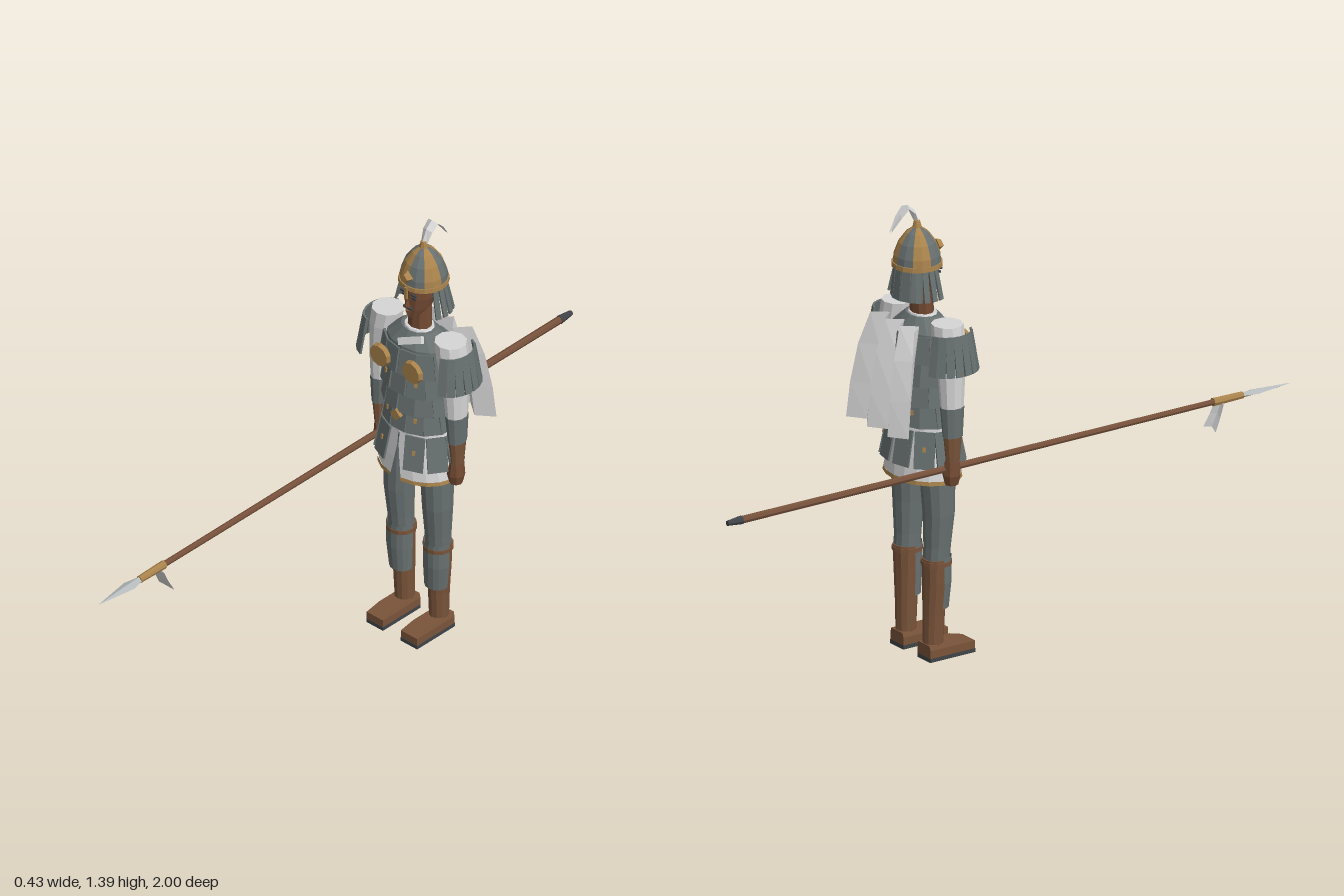
import * as THREE from 'three';

const mat = (name, color) => {
  const m = new THREE.MeshStandardMaterial({ color, flatShading: true, side: THREE.DoubleSide });
  m.name = name;
  return m;
};
const Z = -0.207; // body centre line

// Cross-section loft, rows bottom to top: [y, cx, cz, rx, rz, gap at the open edge]
function loft(rows, n = 10, from = 0, to = Math.PI * 2) {
  const pos = [], idx = [], closed = to - from > 6.2 && !rows[0][5];
  for (const [y, cx, cz, rx, rz, g = 0] of rows)
    for (let j = 0; j <= n; j++) {
      const a = from + g + (j / n) * (to - from - 2 * g);
      pos.push(cx + rx * Math.sin(a), y, cz + rz * Math.cos(a));
    }
  const w = n + 1;
  for (let i = 0; i < rows.length - 1; i++)
    for (let j = 0; j < n; j++) {
      const a = i * w + j, b = a + 1, c = b + w, d = a + w;
      idx.push(a, b, c, a, c, d);
    }
  if (closed) {
    const t = (rows.length - 1) * w;
    for (let j = 1; j < n - 1; j++) idx.push(0, j + 1, j, t, t + j, t + j + 1);
  }
  return surface(pos, idx);
}

function surface(pos, idx) {
  const g = new THREE.BufferGeometry();
  g.setAttribute('position', new THREE.Float32BufferAttribute(pos, 3));
  g.setIndex(idx);
  const out = g.toNonIndexed();
  out.computeVertexNormals();
  return out;
}

// Open sheet from rows of points
function sheet(rows) {
  const w = rows[0].length, idx = [];
  for (let i = 0; i < rows.length - 1; i++)
    for (let j = 0; j < w - 1; j++) {
      const a = i * w + j;
      idx.push(a, a + w, a + 1, a + 1, a + w, a + w + 1);
    }
  return surface(rows.flat(2), idx);
}
// Folded strip: points [z, y, half width], with a raised centre fold
const ribbon = (x, pts, fold) => sheet(pts.map(([z, y, h]) => [[x - h, y, z], [x, y + fold, z + fold], [x + h, y, z]]));

export function createModel() {
  const steel = mat('steel', 0x687170), gold = mat('gold', 0xa9834c), leather = mat('leather', 0x7a543a),
    skin = mat('skin', 0x744b33), cloth = mat('cloth', 0xd6d6d6), dark = mat('dark', 0x404448),
    wood = mat('wood', 0x75503a), blade = mat('blade', 0xb4babb);
  const model = new THREE.Group();
  const add = (name, geo, m, x = 0, y = 0, z = 0) => {
    const o = new THREE.Mesh(geo, m);
    o.name = name;
    o.position.set(x, y, z);
    model.add(o);
    return o;
  };
  const box = (name, w, h, d, m, x, y, z) => add(name, new THREE.BoxGeometry(w, h, d), m, x, y, z);

  // Row of overlapping armour plates on an ellipse, bottoms leaning outward
  function plates(name, { n, from, to, y, h, rx, rz, w, tilt = 0.15, cx = 0, cz = Z, stud = 0 }) {
    for (let i = 0; i < n; i++) {
      const a = from + ((i + 0.5) / n) * (to - from);
      const turn = Math.atan2(Math.sin(a) / rx, Math.cos(a) / rz);
      const p = box(name, w, h, 0.006, steel, cx + rx * Math.sin(a), y, cz + rz * Math.cos(a));
      p.rotation.set(-tilt, turn, 0, 'YXZ');
      if (stud && i % stud === 0) {
        const s = new THREE.Mesh(new THREE.BoxGeometry(0.009, 0.014, 0.006), gold);
        s.name = 'stud';
        s.position.set(0, 0.004, 0.004);
        p.add(s);
      }
    }
  }

  // Torso and its four rows of plates
  add('torso', loft([[0.68, 0, Z, 0.1, 0.08], [0.8, 0, Z, 0.098, 0.078], [0.95, 0, Z, 0.115, 0.082],
    [1.01, 0, Z, 0.11, 0.075], [1.05, 0, Z, 0.06, 0.045]], 14), steel);
  [[0.965, 0.118, 0.086], [0.895, 0.116, 0.086], [0.83, 0.11, 0.085], [0.765, 0.107, 0.084]].forEach(([y, rx, rz], i) =>
    plates('torsoPlate', { n: 12, from: (i % 2) * 0.26, to: Math.PI * 2 + (i % 2) * 0.26, y, h: 0.082, rx, rz, w: 0.055, stud: i % 2 ? 2 : 0 }));
  const sash = add('neckScarf', new THREE.BoxGeometry(0.085, 0.022, 0.014), cloth, 0.02, 1.03, -0.15);
  sash.rotation.set(-0.5, 0, 0.45);
  add('collar', loft([[1.025, 0, Z, 0.065, 0.05], [1.055, 0, Z, 0.045, 0.04]], 12), cloth);
  add('buckle', new THREE.CylinderGeometry(0.02, 0.02, 0.012, 4), gold, 0, 0.78, -0.11).rotation.x = Math.PI / 2;

  // Skirt with front slit, gold hem, belt and hanging plates
  const skirt = (y) => {
    const t = (0.73 - y) / 0.165;
    return [y, 0, Z, 0.1 + 0.032 * t, 0.084 + 0.018 * t, 0.02 + 0.2 * Math.max(0, t - 0.35)];
  };
  add('skirt', loft([0.565, 0.62, 0.67, 0.73].map(skirt), 18), cloth);
  add('skirtHem', loft([[...skirt(0.555)], [...skirt(0.567)]].map((r) => [r[0], r[1], r[2], r[3] + 0.002, r[4] + 0.002, r[5]]), 18), gold);
  add('belt', loft([[0.712, 0, Z, 0.108, 0.088], [0.738, 0, Z, 0.106, 0.087]], 14), cloth);
  plates('skirtPlate', { n: 10, from: 0.2, to: Math.PI * 2 - 0.2, y: 0.662, h: 0.11, rx: 0.13, rz: 0.1, w: 0.061, tilt: 0.2, stud: 3 });

  for (const s of [1, -1]) {
    // Chest disc
    add('chestDisc', new THREE.CylinderGeometry(0.034, 0.038, 0.014, 10), gold, s * 0.064, 0.96, -0.108).rotation.x = Math.PI / 2;

    // Arm: sleeve, bracer, wrist and hand
    add('sleeve', loft([[0.8, s * 0.149, Z, 0.03, 0.036], [0.9, s * 0.146, Z, 0.036, 0.042],
      [1.0, s * 0.133, Z, 0.048, 0.05], [1.052, s * 0.125, Z, 0.049, 0.047]]), cloth);
    add('bracer', loft([[0.71, s * 0.152, Z, 0.024, 0.032], [0.802, s * 0.149, Z, 0.031, 0.038]]), steel);
    add('wrist', loft([[0.62, s * 0.152, Z, 0.015, 0.021], [0.712, s * 0.152, Z, 0.022, 0.03]]), leather);
    add('hand', loft([[0.56, s * 0.146, Z, 0.02, 0.02], [0.59, s * 0.146, Z, 0.027, 0.027], [0.635, s * 0.15, Z, 0.018, 0.024]], 8), skin);

    // Two rows of shoulder plates
    for (const [y, rx, rz] of [[1.0, 0.06, 0.072], [0.945, 0.069, 0.081]])
      plates('shoulderPlate', { n: 8, from: s * 0.2, to: s * 2.94, y, h: 0.065, rx, rz, w: 0.025, cx: s * 0.137, tilt: 0.17 });

    // Leg, boot, greave and foot
    add('leg', loft([[0.3, s * 0.073, -0.21, 0.04, 0.039], [0.35, s * 0.074, -0.207, 0.041, 0.04],
      [0.45, s * 0.076, -0.203, 0.047, 0.047], [0.56, s * 0.073, -0.205, 0.051, 0.053], [0.7, s * 0.058, -0.207, 0.05, 0.055]], 12), steel);
    add('boot', loft([[0.03, s * 0.068, -0.218, 0.029, 0.03], [0.14, s * 0.069, -0.216, 0.033, 0.033],
      [0.24, s * 0.072, -0.213, 0.039, 0.037], [0.312, s * 0.073, -0.212, 0.041, 0.041]], 12), leather);
    add('greave', loft([[0.16, s * 0.07, -0.208, 0.038, 0.037], [0.24, s * 0.073, -0.207, 0.044, 0.042],
      [0.32, s * 0.073, -0.208, 0.044, 0.043]], 8, -1.65, 1.65), steel);
    add('kneeStrap', loft([[0.293, s * 0.073, -0.209, 0.046, 0.046], [0.306, s * 0.073, -0.209, 0.046, 0.046]], 12), leather);
    add('foot', loft([[0.012, s * 0.068, -0.17, 0.046, 0.112], [0.036, s * 0.068, -0.17, 0.046, 0.112],
      [0.05, s * 0.068, -0.195, 0.04, 0.078]], 4, Math.PI / 4, Math.PI * 2.25), leather);
    box('sole', 0.066, 0.012, 0.16, dark, s * 0.068, 0.006, -0.17);

    // Eye and brow
    box('eye', 0.016, 0.006, 0.005, dark, s * 0.02, 1.172, -0.163);
    box('brow', 0.02, 0.005, 0.006, dark, s * 0.021, 1.184, -0.161);
  }

  // Head, neck, nose and pointed beard
  add('neck', loft([[1.03, 0, -0.208, 0.04, 0.033], [1.13, 0, -0.212, 0.037, 0.033]]), skin);
  add('head', loft([[1.095, 0, -0.188, 0.018, 0.022], [1.125, 0, -0.205, 0.036, 0.043],
    [1.165, 0, -0.214, 0.047, 0.054], [1.215, 0, -0.22, 0.05, 0.058]], 12), skin);
  add('nose', new THREE.ConeGeometry(0.01, 0.035, 4), skin, 0, 1.158, -0.157);
  box('moustache', 0.034, 0.006, 0.008, dark, 0, 1.134, -0.159);
  add('beard', new THREE.ConeGeometry(0.014, 0.03, 4), leather, 0, 1.112, -0.162).rotation.x = Math.PI;

  // Helmet of eight alternating panels
  const HZ = -0.226;
  const dome = [[0.072, 1.205], [0.069, 1.235], [0.055, 1.273], [0.034, 1.302], [0.012, 1.318]].map((p) => new THREE.Vector2(...p));
  for (let k = 0; k < 8; k++)
    add('helmetPanel', new THREE.LatheGeometry(dome, 2, (k * Math.PI) / 4, Math.PI / 4), k % 2 ? gold : steel, 0, 0, HZ);
  add('helmetBand', loft([[1.2, 0, HZ, 0.075, 0.076], [1.214, 0, HZ, 0.074, 0.075]], 16), gold);
  add('finial', new THREE.CylinderGeometry(0.009, 0.015, 0.024, 8), gold, 0, 1.325, HZ);
  const gem = add('helmetDiamond', new THREE.CylinderGeometry(0.014, 0.021, 0.018, 4), gold, 0, 1.245, -0.15);
  gem.rotation.x = Math.PI / 2;
  box('nosePiece', 0.009, 0.04, 0.008, gold, 0, 1.19, -0.151);
  // Neck guard: long back panels and narrow side strips
  plates('neckGuard', { n: 5, from: 2.0, to: 4.28, y: 1.155, h: 0.095, rx: 0.07, rz: 0.068, w: 0.038, cz: HZ, tilt: 0.1 });
  for (const s of [1, -1])
    for (const [y, r] of [[1.178, 0.073], [1.135, 0.083]])
      plates('cheekGuard', { n: 4, from: s * 1.1, to: s * 2.3, y, h: 0.05, rx: r, rz: r - 0.004, w: 0.017, cz: HZ, tilt: 0.22 });
  // Plume
  add('plume', ribbon(0, [[-0.228, 1.33, 0.012], [-0.243, 1.365, 0.018], [-0.267, 1.385, 0.02],
    [-0.292, 1.36, 0.016], [-0.322, 1.318, 0.005]], 0.007), cloth);

  // Pleated cape
  const cape = [[1.04, -0.27, 0.11, 0.022], [0.94, -0.298, 0.135, 0.021], [0.82, -0.318, 0.15, 0.02], [0.712, -0.33, 0.156, 0.019]];
  add('cape', sheet(cape.map(([y, z, w, d]) => Array.from({ length: 7 }, (_, j) =>
    [w * (j / 3 - 1), y, z - (j % 2 ? 0 : 2 * d) ]))), cloth);

  // Spear pointing forward, with socket, blade, butt and pennant
  const SX = -0.141, SY = 0.609;
  const along = (name, rows, n, m) => add(name, loft(rows.map(([z, rx, ry]) => [z, 0, 0, rx, ry]), n), m, SX, SY, 0).rotation.x = Math.PI / 2;
  along('spearShaft', [[-0.96, 0.012, 0.012], [0.75, 0.009, 0.009]], 8, wood);
  along('spearButt', [[-1, 0.008, 0.008], [-0.95, 0.0135, 0.0135]], 8, dark);
  along('spearSocket', [[0.725, 0.013, 0.013], [0.83, 0.011, 0.011]], 8, gold);
  along('spearBlade', [[0.82, 0.009, 0.009], [0.872, 0.021, 0.008], [1, 0.0005, 0.0005]], 4, blade);
  add('pennant', ribbon(SX, [[0.748, 0.602, 0.022], [0.733, 0.565, 0.026], [0.713, 0.527, 0.031]], 0.008), cloth);

  return model;
}
